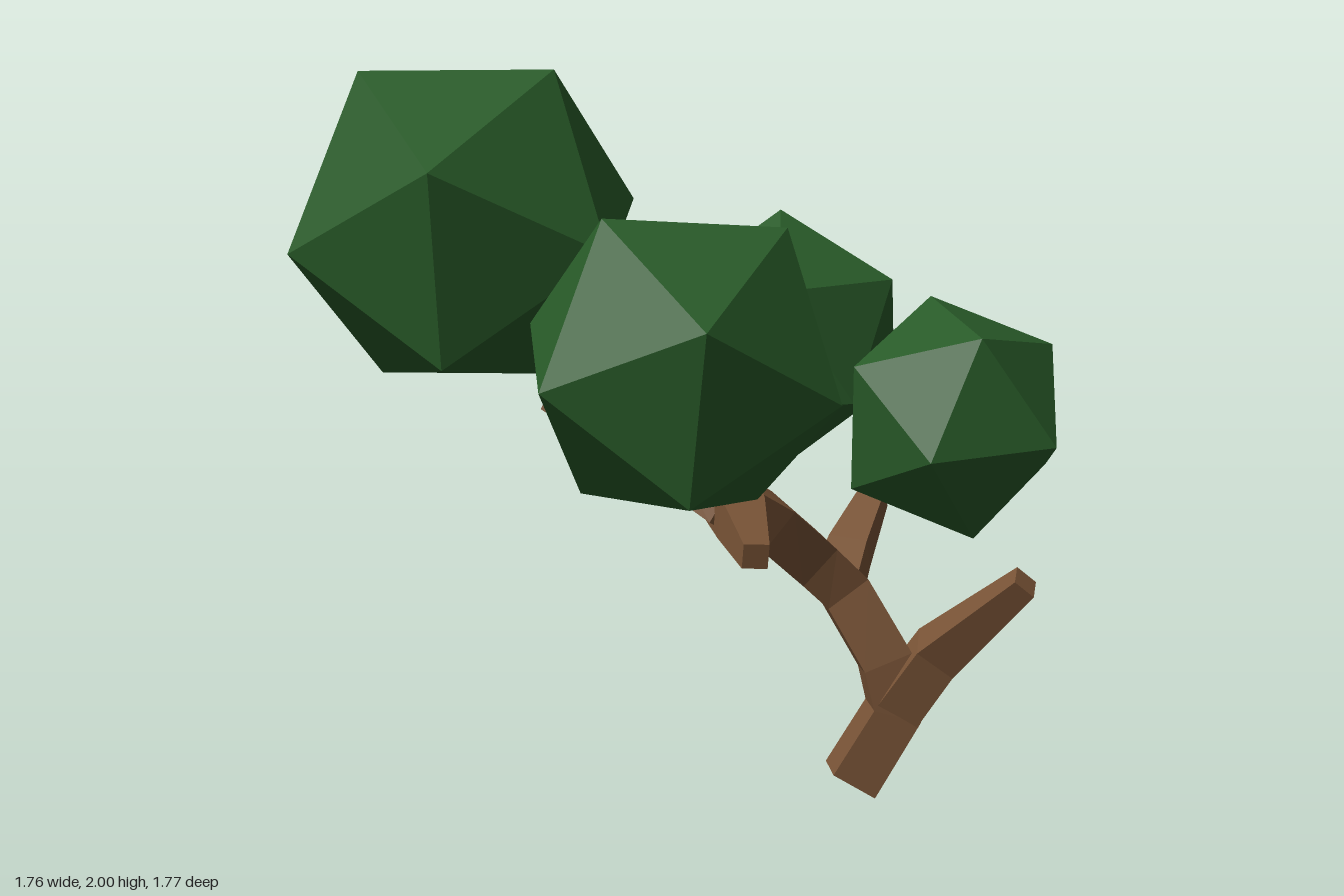
import * as THREE from 'three';

const bark = new THREE.MeshStandardMaterial({ color: 0x785336, flatShading: true });
const leaf = new THREE.MeshStandardMaterial({ color: 0x285a28, flatShading: true });
const vec = (a) => new THREE.Vector3(a[0], a[1], a[2]);

// Square-section limb through [x, y, z, halfWidth] nodes; the section is carried along the path
function limb(name, nodes, side) {
  const p = nodes.map(vec);
  const s = vec(side);
  const pos = [], index = [];
  nodes.forEach((n, i) => {
    const tangent = p[Math.min(i + 1, p.length - 1)].clone().sub(p[Math.max(i - 1, 0)]).normalize();
    s.addScaledVector(tangent, -s.dot(tangent)).normalize();
    const t = tangent.clone().cross(s);
    for (const [a, b] of [[1, 1], [-1, 1], [-1, -1], [1, -1]]) {
      pos.push(...p[i].clone().addScaledVector(s, a * n[3]).addScaledVector(t, b * n[3]).toArray());
    }
    if (i === 0) return;
    for (let k = 0; k < 4; k++) {
      const a = (i - 1) * 4 + k, b = (i - 1) * 4 + (k + 1) % 4;
      index.push(a, b, b + 4, a, b + 4, a + 4);
    }
  });
  const e = (nodes.length - 1) * 4;
  index.push(0, 2, 1, 0, 3, 2, e, e + 1, e + 2, e, e + 2, e + 3);
  let geo = new THREE.BufferGeometry();
  geo.setAttribute('position', new THREE.Float32BufferAttribute(pos, 3));
  geo.setIndex(index);
  geo = geo.toNonIndexed();
  geo.computeVertexNormals();
  const mesh = new THREE.Mesh(geo, bark);
  mesh.name = name;
  return mesh;
}

// Icosahedral crown, turned so that two neighbouring corners point along a and b
function crown(name, radius, center, a, b) {
  const A = vec(a).normalize(), B = vec(b).normalize();
  const y = A.clone().add(B).normalize();
  const x = B.clone().sub(A);
  x.addScaledVector(y, -x.dot(y)).normalize();
  const mesh = new THREE.Mesh(new THREE.IcosahedronGeometry(radius, 0), leaf);
  mesh.quaternion.setFromRotationMatrix(new THREE.Matrix4().makeBasis(x, y, x.clone().cross(y)));
  mesh.position.set(...center);
  mesh.name = name;
  return mesh;
}

export function createModel() {
  const tree = new THREE.Group();
  tree.name = 'tree';

  // Trunk and its branches
  const wood = new THREE.Group();
  wood.name = 'wood';
  wood.add(
    limb('trunk', [
      [0.46, 0.04, 0.2, 0.068], [0.575, 0.235, 0.235, 0.068], [0.56, 0.38, 0.21, 0.07],
      [0.48, 0.57, 0.12, 0.068], [0.38, 0.67, 0.1, 0.068], [0.23, 0.8, 0.12, 0.068],
      [0.09, 0.89, 0.12, 0.068], [0.01, 0.95, -0.03, 0.052], [-0.2, 1.1, -0.32, 0.033],
    ], [0.06, 0, -0.12]),
    limb('frontRightBranch', [
      [0.565, 0.22, 0.23, 0.064], [0.66, 0.41, 0.31, 0.062], [0.78, 0.66, 0.54, 0.034],
    ], [0.06, 0, -0.12]),
    limb('backRightBranch', [
      [0.46, 0.58, 0.12, 0.062], [0.55, 0.65, 0.04, 0.055], [0.705, 0.765, -0.07, 0.036],
    ], [1, 0, 1]),
    limb('frontLeftBranch', [
      [0.13, 0.88, 0.09, 0.066], [0.075, 0.86, 0.24, 0.058], [-0.02, 0.83, 0.47, 0.033],
    ], [1, 0, 0]),
  );
  tree.add(wood);

  // Leaf crowns above the branch tips
  tree.add(
    crown('backLeftCrown', 0.497, [-0.39, 1.575, -0.435], [0.17, 0.425, 0.195], [-0.25, 0.415, -0.105]),
    crown('frontLeftCrown', 0.416, [-0.26, 1.36, 0.517], [-0.21, 0.36, -0.017], [0.2, 0.33, 0.155]),
    crown('backRightCrown', 0.357, [0.485, 1.225, -0.21], [0, 0.353, -0.035], [-0.015, 0.135, -0.335]),
    crown('frontRightCrown', 0.325, [0.595, 1.115, 0.44], [0.015, 0.295, -0.13], [-0.06, 0.245, 0.2]),
  );
  return tree;
}
